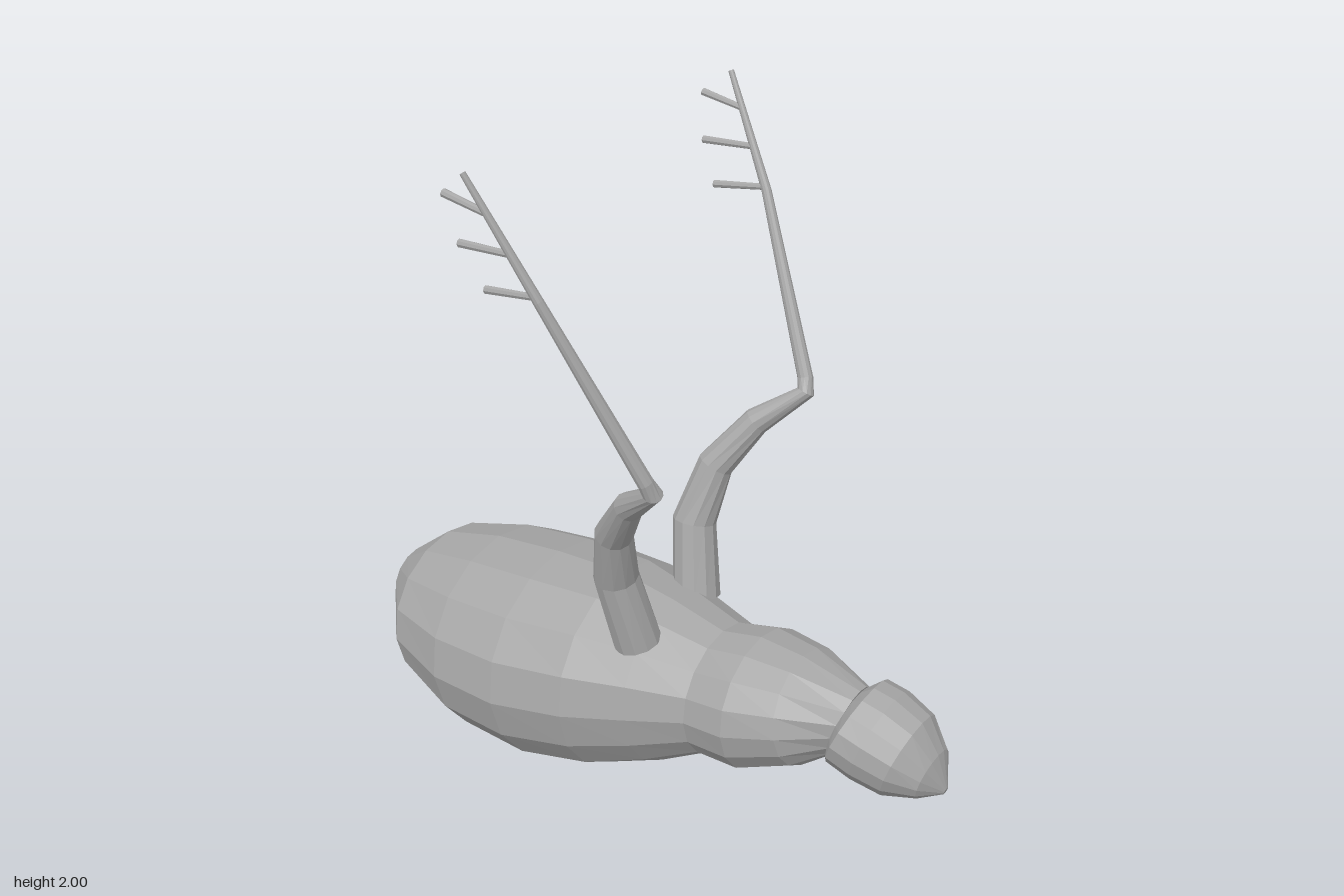
import * as THREE from 'three';

const grey = new THREE.MeshStandardMaterial({ color: 0xa6a6a6, flatShading: true });
grey.name = 'grey';

// Closed skin over elliptical rings; each ring is { c, u, v } with u x v along the path
function loft(name, rings, sides) {
  const pos = [], index = [];
  for (const { c, u, v } of rings) {
    for (let k = 0; k < sides; k++) {
      const a = (k / sides) * Math.PI * 2;
      const p = c.clone().addScaledVector(u, Math.cos(a)).addScaledVector(v, Math.sin(a));
      pos.push(p.x, p.y, p.z);
    }
  }
  const last = rings.length - 1;
  const start = pos.length / 3, end = start + 1;
  pos.push(...rings[0].c.toArray(), ...rings[last].c.toArray());
  for (let k = 0; k < sides; k++) {
    const n = (k + 1) % sides;
    for (let i = 0; i < last; i++) {
      const a = i * sides + k, b = i * sides + n;
      index.push(a, b, b + sides, a, b + sides, a + sides);
    }
    index.push(start, n, k, end, last * sides + k, last * sides + n);
  }
  const geo = new THREE.BufferGeometry();
  geo.setAttribute('position', new THREE.Float32BufferAttribute(pos, 3));
  geo.setIndex(index);
  geo.computeVertexNormals();
  const mesh = new THREE.Mesh(geo, grey);
  mesh.name = name;
  return mesh;
}

// Ring of the body from its top point, bottom point and half width
function bodyRing([zTop, yTop, zBottom, yBottom, half]) {
  return {
    c: new THREE.Vector3(0, (yTop + yBottom) / 2, (zTop + zBottom) / 2),
    u: new THREE.Vector3(half, 0, 0),
    v: new THREE.Vector3(0, (yTop - yBottom) / 2, (zTop - zBottom) / 2),
  };
}

// Round limb through points [x, y, z, radius]
function limb(name, points, sides) {
  const pts = points.map((p) => new THREE.Vector3(p[0], p[1], p[2]));
  const rings = pts.map((c, i) => {
    const t = new THREE.Vector3();
    if (i > 0) t.add(c.clone().sub(pts[i - 1]).normalize());
    if (i < pts.length - 1) t.add(pts[i + 1].clone().sub(c).normalize());
    t.normalize();
    const ref = Math.abs(t.x) > 0.9 ? new THREE.Vector3(0, 1, 0) : new THREE.Vector3(1, 0, 0);
    const u = ref.addScaledVector(t, -ref.dot(t)).normalize();
    const v = t.clone().cross(u);
    const r = points[i][3];
    return { c, u: u.multiplyScalar(r), v: v.multiplyScalar(r) };
  });
  return loft(name, rings, sides);
}

export function createModel() {
  const model = new THREE.Group();
  model.name = 'creature';

  // Large rear body: [z top, y top, z bottom, y bottom, half width]
  const waist = [0.23, 0.594, 0.25, 0.217, 0.21];
  model.add(loft('rearBody', [
    [-0.945, 0.456, -0.93, 0.24, 0.117],
    [-0.80, 0.57, -0.765, 0.085, 0.28],
    [-0.59, 0.625, -0.535, 0.008, 0.352],
    [-0.355, 0.652, -0.30, 0.003, 0.37],
    [-0.12, 0.663, -0.085, 0.05, 0.335],
    [0.06, 0.635, 0.095, 0.127, 0.27],
    waist,
  ].map(bodyRing), 16));

  // Smaller front body tapering to the neck
  model.add(loft('frontBody', [
    waist,
    [0.355, 0.622, 0.39, 0.228, 0.226],
    [0.49, 0.612, 0.545, 0.30, 0.188],
    [0.67, 0.57, 0.625, 0.36, 0.10],
  ].map(bodyRing), 16));

  // Head drooping to a blunt point
  model.add(loft('head', [
    [0.67, 0.565, 0.61, 0.37, 0.10],
    [0.71, 0.597, 0.622, 0.35, 0.148],
    [0.775, 0.585, 0.70, 0.325, 0.151],
    [0.858, 0.546, 0.79, 0.308, 0.135],
    [0.912, 0.465, 0.885, 0.332, 0.088],
    [0.945, 0.37, 0.94, 0.352, 0.012],
  ].map(bodyRing), 16));

  // Raised antlers, mirrored
  for (const s of [1, -1]) {
    const antler = new THREE.Group();
    antler.name = s > 0 ? 'leftAntler' : 'rightAntler';
    antler.add(limb('antlerBase', [
      [s * 0.147, 0.57, 0.04, 0.07],
      [s * 0.19, 0.79, 0.0, 0.064],
      [s * 0.243, 0.96, 0.035, 0.053],
      [s * 0.305, 1.1, 0.13, 0.04],
      [s * 0.365, 1.2, 0.25, 0.026],
      [s * 0.38, 1.235, 0.238, 0.022],
      [s * 0.5, 1.7, 0.018, 0.014],
      [s * 0.558, 1.997, -0.145, 0.008],
    ], 12));
    // Three short tines pointing back
    [
      [0.5, 1.71, 0.015, 0.492, 1.69, -0.15],
      [0.52, 1.81, -0.04, 0.516, 1.803, -0.205],
      [0.54, 1.905, -0.095, 0.54, 1.93, -0.225],
    ].forEach(([x0, y0, z0, x1, y1, z1]) => {
      antler.add(limb('tine', [[s * x0, y0, z0, 0.009], [s * x1, y1, z1, 0.011]], 8));
    });
    model.add(antler);
  }

  return model;
}
